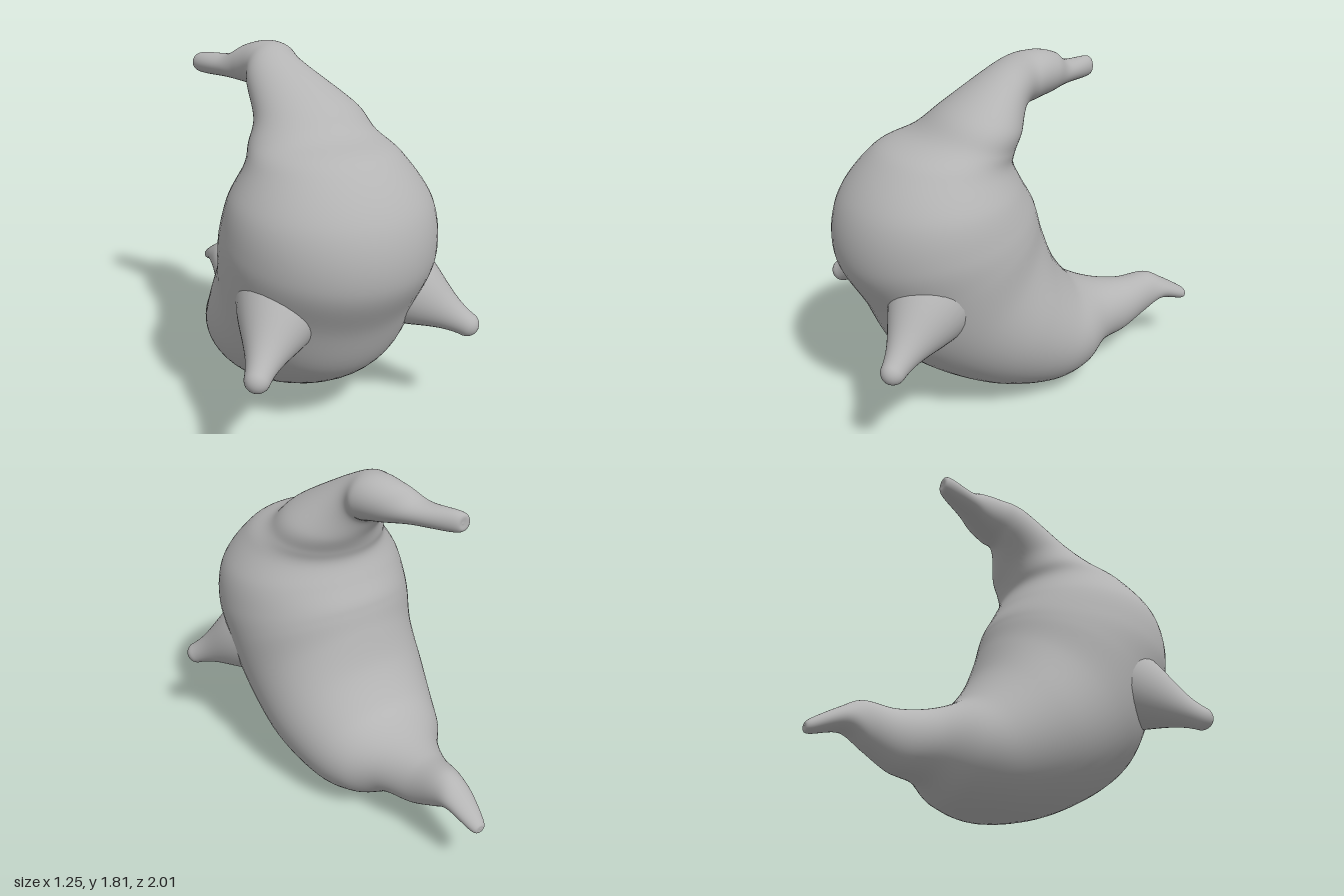
import * as THREE from 'three';

// Body sections from tail to horn:
// [outer z, outer y, inner z, inner y, centre x, half width]
const SECTIONS = [
  [-0.98, 0.27, -0.985, 0.335, 0, 0.04],
  [-0.82, 0.305, -0.85, 0.42, 0, 0.08],
  [-0.70, 0.235, -0.74, 0.475, 0, 0.10],
  [-0.56, 0.16, -0.58, 0.465, 0, 0.14],
  [-0.40, 0.13, -0.42, 0.49, 0, 0.21],
  [-0.24, 0.038, -0.28, 0.545, 0, 0.33],
  [0.0, 0.0, -0.20, 0.62, 0, 0.40],
  [0.36, 0.095, -0.11, 0.76, 0, 0.465],
  [0.72, 0.325, -0.05, 0.93, 0, 0.49],
  [0.88, 0.63, -0.02, 1.04, 0, 0.515],
  [1.0, 0.88, 0.0, 1.10, 0, 0.52],
  [0.965, 1.15, 0.05, 1.19, 0, 0.485],
  [0.78, 1.38, 0.095, 1.29, 0, 0.38],
  [0.57, 1.47, 0.085, 1.36, 0, 0.32],
  [0.41, 1.59, 0.05, 1.44, 0.01, 0.26],
  [0.10, 1.765, 0.0, 1.53, -0.05, 0.16],
  [-0.05, 1.807, -0.05, 1.565, -0.035, 0.14],
  [-0.18, 1.78, -0.14, 1.58, -0.07, 0.12],
  [-0.28, 1.717, -0.26, 1.595, -0.14, 0.09],
  [-0.45, 1.70, -0.45, 1.60, -0.235, 0.05],
];

// Closing point just behind an end section
function tipOf([oz, oy, iz, iy, x]) {
  const z = (oz + iz) / 2 - 0.02;
  const y = (oy + iy) / 2;
  return [z, y, z, y, x, 0];
}

// Smooth skin of elliptical rings swept through the sections
function loftGeometry(sections, steps, sides) {
  const curve = (pick) => new THREE.CatmullRomCurve3(
    sections.map((s) => new THREE.Vector3(...pick(s))), false, 'catmullrom', 0.5);
  const outer = curve((s) => [s[4], s[1], s[0]]);
  const inner = curve((s) => [s[4], s[3], s[2]]);
  const width = curve((s) => [s[5], 0, 0]);
  const positions = [];
  const index = [];
  for (let i = 0; i <= steps; i++) {
    const t = i / steps;
    const o = outer.getPoint(t);
    const n = inner.getPoint(t);
    const w = Math.max(0, width.getPoint(t).x);
    const centre = o.clone().add(n).multiplyScalar(0.5);
    const half = o.clone().sub(n).multiplyScalar(0.5);
    for (let j = 0; j < sides; j++) {
      const a = (j / sides) * Math.PI * 2;
      const p = centre.clone().addScaledVector(half, Math.cos(a));
      positions.push(p.x + w * Math.sin(a), p.y, p.z);
      if (i === steps) continue;
      const k = (j + 1) % sides;
      const r = i * sides;
      const q = r + sides;
      index.push(r + j, r + k, q + j, r + k, q + k, q + j);
    }
  }
  const geometry = new THREE.BufferGeometry();
  geometry.setAttribute('position', new THREE.Float32BufferAttribute(positions, 3));
  geometry.setIndex(index);
  geometry.computeVertexNormals();
  return geometry;
}

// Flared stub with a rounded tip, growing along +y
function flipperGeometry() {
  const flare = new THREE.CubicBezierCurve(
    new THREE.Vector2(0.21, -0.04), new THREE.Vector2(0.16, 0.11),
    new THREE.Vector2(0.08, 0.2), new THREE.Vector2(0.06, 0.335));
  const points = flare.getPoints(20);
  for (let i = 1; i <= 8; i++) {
    const a = (i / 8) * Math.PI / 2;
    points.push(new THREE.Vector2(0.06 * Math.cos(a), 0.335 + 0.06 * Math.sin(a)));
  }
  return new THREE.LatheGeometry(points, 32);
}

export function createModel() {
  const group = new THREE.Group();
  const grey = new THREE.MeshStandardMaterial({ color: 0xb4b4b4 });
  grey.name = 'clay grey';

  // Tail, belly, head and curled horn in one skin
  const sections = [tipOf(SECTIONS[0]), ...SECTIONS, tipOf(SECTIONS.at(-1))];
  const body = new THREE.Mesh(loftGeometry(sections, 189, 56), grey);
  body.name = 'body';
  group.add(body);

  // Mirrored flippers pointing out, down and forward
  const geometry = flipperGeometry();
  for (const side of [1, -1]) {
    const flipper = new THREE.Mesh(geometry, grey);
    flipper.name = side > 0 ? 'leftFlipper' : 'rightFlipper';
    flipper.position.set(side * 0.36, 0.68, 0.66);
    const direction = new THREE.Vector3(side * 0.205, -0.15, 0.215).normalize();
    flipper.quaternion.setFromUnitVectors(new THREE.Vector3(0, 1, 0), direction);
    group.add(flipper);
  }
  return group;
}
